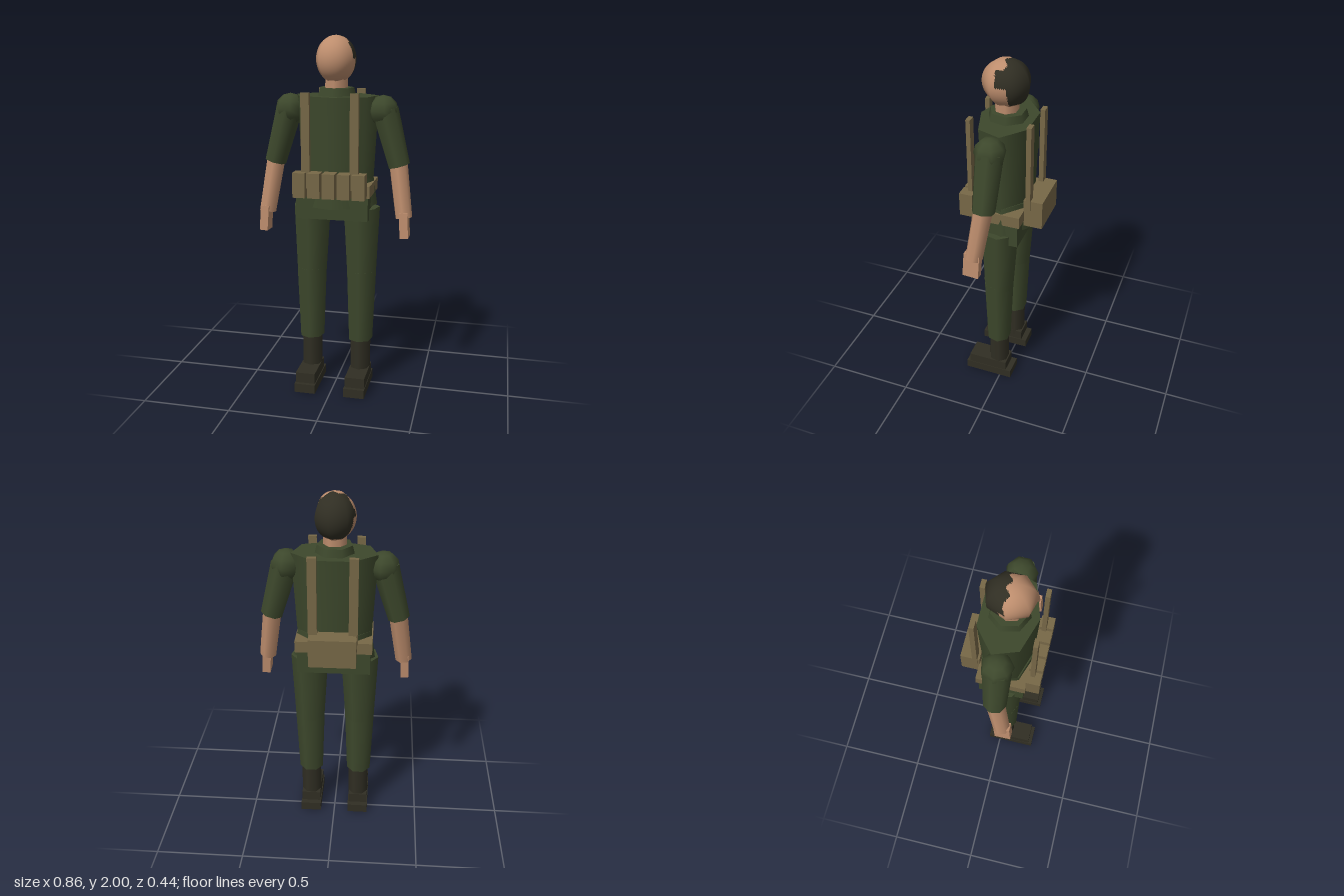
import * as THREE from 'three';

const mat = (name, color) => {
  const m = new THREE.MeshStandardMaterial({ color });
  m.name = name;
  return m;
};

export function createModel() {
  const green = mat('uniform green', 0x3d482c);
  const khaki = mat('webbing khaki', 0x776847);
  const skin = mat('skin', 0xbd8d6d);
  const dark = mat('boots and hair', 0x302e23);
  const model = new THREE.Group();

  const add = (name, geometry, material, x = 0, y = 0, z = 0) => {
    const m = new THREE.Mesh(geometry, material);
    m.name = name;
    m.position.set(x, y, z);
    model.add(m);
    return m;
  };
  // box given by its limits
  const box = (name, material, x0, x1, y0, y1, z0, z1) =>
    add(name, new THREE.BoxGeometry(x1 - x0, y1 - y0, z1 - z0), material,
      (x0 + x1) / 2, (y0 + y1) / 2, (z0 + z1) / 2);
  // upright tapered seven-sided section, widened along x
  const section = (name, material, y0, y1, r0, r1, wide, z) => {
    const m = add(name, new THREE.CylinderGeometry(r1, r0, y1 - y0, 7), material, 0, (y0 + y1) / 2, z);
    m.scale.x = wide;
    return m;
  };
  // tapered limb from a (top) to b (bottom)
  const limb = (name, material, a, b, ra, rb) => {
    const va = new THREE.Vector3(...a), vb = new THREE.Vector3(...b);
    const dir = va.clone().sub(vb);
    const m = add(name, new THREE.CylinderGeometry(ra, rb, dir.length(), 7), material);
    m.position.copy(va).add(vb).multiplyScalar(0.5);
    m.quaternion.setFromUnitVectors(new THREE.Vector3(0, 1, 0), dir.normalize());
    return m;
  };

  // torso, tunic skirt and collar
  section('torso', green, 1.22, 1.685, 0.135, 0.1515, 1.54, 0.0115);
  section('tunicFlare', green, 1.085, 1.245, 0.161, 0.145, 1.43, 0.0115);
  box('tunicSkirt', green, -0.2, 0.2, 1.02, 1.16, -0.11, 0.137);
  section('collar', green, 1.68, 1.727, 0.108, 0.096, 1, 0.015);
  section('neck', skin, 1.68, 1.8, 0.065, 0.063, 1, 0.022);

  // head: seven-sided plan with smooth normals, hair as faces of the same surface
  const head = new THREE.SphereGeometry(1, 70, 40);
  const p = head.attributes.position, step = Math.PI * 2 / 7;
  for (let i = 0; i < p.count; i++) {
    const phi = Math.atan2(p.getZ(i), -p.getX(i)) + Math.PI * 2;
    const k = Math.cos(step / 2) / Math.cos((phi % step) - step / 2);
    p.setXYZ(i, p.getX(i) * k * 0.11, p.getY(i) * 0.126, p.getZ(i) * k * 0.13);
  }
  const isHair = (x, y, z) => {
    if (y < -0.098) return false;
    if (y < 0.005) return z < -0.035;
    return z < (x > 0.07 ? 0.032 : -0.008 + 0.012 * Math.sin(x * 90));
  };
  const skinFaces = [], hairFaces = [], index = head.index;
  for (let i = 0; i < index.count; i += 3) {
    const f = [0, 1, 2].map((j) => index.getX(i + j));
    const mid = (get) => f.reduce((s, v) => s + p[get](v), 0) / 3;
    (isHair(mid('getX'), mid('getY'), mid('getZ')) ? hairFaces : skinFaces).push(...f);
  }
  for (const [name, faces, material] of [['head', skinFaces, skin], ['hair', hairFaces, dark]]) {
    const g = head.clone();
    g.setIndex(faces);
    add(name, g, material, 0, 1.874, 0.02);
  }

  // belt, ammunition pouches and back pack
  box('belt', khaki, -0.21, 0.21, 1.152, 1.217, -0.122, 0.148);
  for (let i = -2; i <= 2; i++) {
    const x = i * 0.081;
    box('pouch', khaki, x - 0.034, x + 0.034, 1.155, 1.29, 0.147, 0.221);
  }
  box('backPack', khaki, -0.127, 0.127, 1.12, 1.28, -0.222, -0.118);

  for (const s of [1, -1]) {
    const side = s > 0 ? 'left' : 'right';
    const mirrored = (name, material, x0, x1, ...rest) =>
      box(side + name, material, Math.min(s * x0, s * x1), Math.max(s * x0, s * x1), ...rest);

    // shoulder straps
    mirrored('FrontStrap', khaki, 0.109, 0.155, 1.2, 1.71, 0.162, 0.186);
    mirrored('BackStrap', khaki, 0.084, 0.132, 1.2, 1.71, -0.156, -0.13);

    // arm
    add(side + 'Shoulder', new THREE.SphereGeometry(0.084, 7, 6), green, s * 0.257, 1.608, 0.014);
    limb(side + 'Sleeve', green, [s * 0.265, 1.61, 0.015], [s * 0.348, 1.313, 0.02], 0.075, 0.061);
    limb(side + 'Forearm', skin, [s * 0.342, 1.34, 0.02], [s * 0.386, 1.035, 0.064], 0.052, 0.047);
    const hand = mirrored('Hand', skin, 0.369, 0.415, 0.93, 1.07, 0.027, 0.115);
    hand.rotation.set(-0.06, 0, s * 0.06);

    // leg
    limb(side + 'Thigh', green, [s * 0.14, 1.075, 0.015], [s * 0.144, 0.65, 0.022], 0.106, 0.084);
    limb(side + 'Shin', green, [s * 0.144, 0.71, 0.022], [s * 0.143, 0.29, 0.024], 0.087, 0.071);

    // boot
    limb(side + 'BootShaft', dark, [s * 0.143, 0.31, 0.022], [s * 0.143, 0.08, 0.022], 0.06, 0.059);
    mirrored('BootUpper', dark, 0.088, 0.2, 0.04, 0.112, -0.038, 0.195);
    mirrored('BootSole', dark, 0.083, 0.203, 0, 0.052, -0.07, 0.216);
  }
  return model;
}
